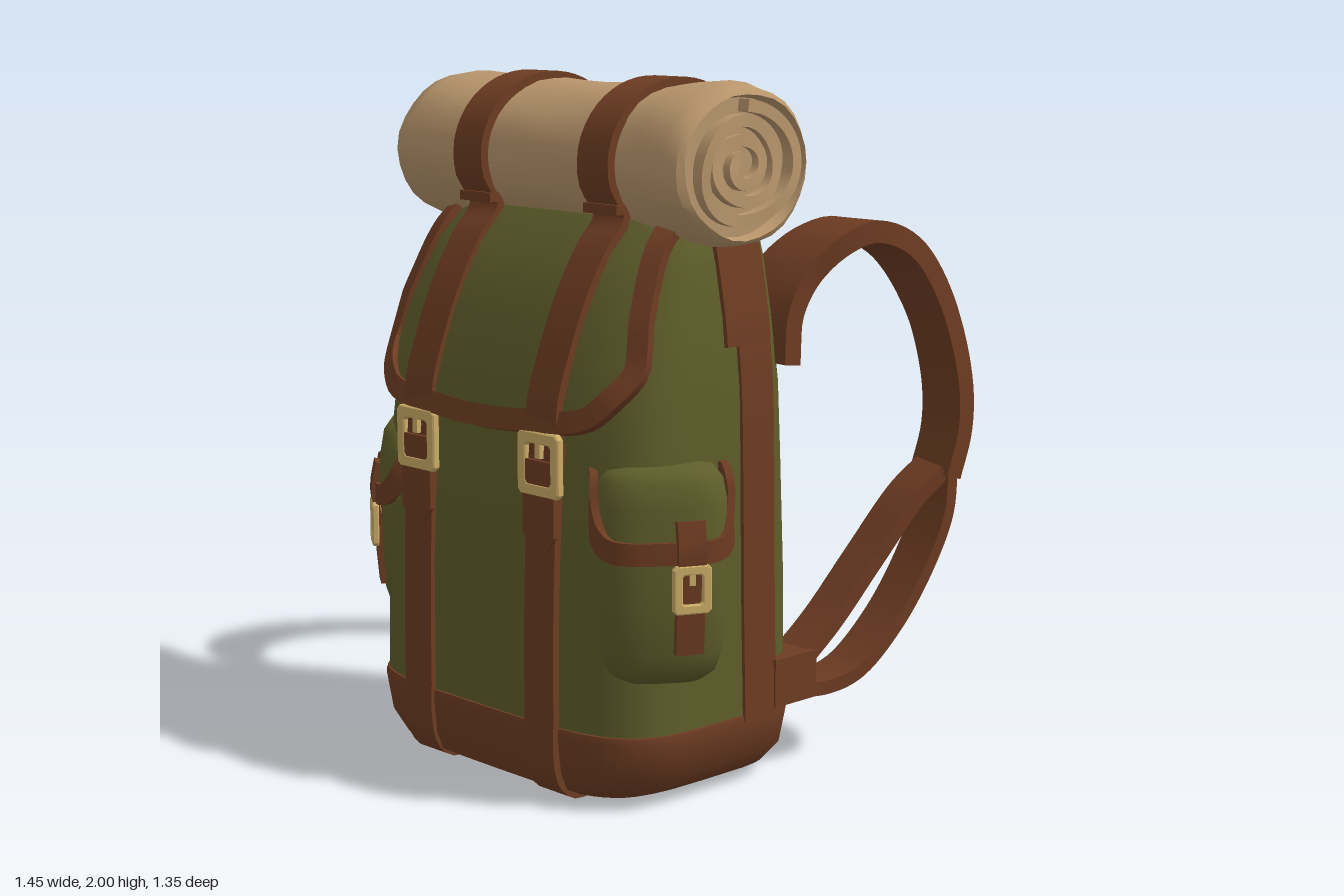
import * as THREE from 'three';
import { toCreasedNormals } from 'three/addons/utils/BufferGeometryUtils.js';

const V = (x, y, z) => new THREE.Vector3(x, y, z);
const paint = (name, color) => Object.assign(new THREE.MeshStandardMaterial({ color }), { name });
const canvas = paint('green canvas', 0x5e5d2a);
const leather = paint('brown leather', 0x6e3c22);
const blanket = paint('tan blanket', 0xb9966c);
const brass = paint('brass', 0xcdae68);

function add(parent, name, geometry, material) {
  const m = new THREE.Mesh(geometry, material);
  m.name = name;
  parent.add(m);
  return m;
}

// Closed skin through rings of points, with both ends capped
function loft(rings, crease = 0.6) {
  const n = rings[0].length, pos = [], idx = [];
  rings.forEach(r => r.forEach(p => pos.push(p.x, p.y, p.z)));
  for (let i = 0; i < rings.length - 1; i++)
    for (let j = 0; j < n; j++) {
      const a = i * n + j, b = i * n + (j + 1) % n;
      idx.push(a, b, b + n, a, b + n, a + n);
    }
  [0, rings.length - 1].forEach((i, end) => {
    const c = rings[i].reduce((s, p) => s.add(p), V(0, 0, 0)).divideScalar(n);
    const k = pos.length / 3;
    pos.push(c.x, c.y, c.z);
    for (let j = 0; j < n; j++) {
      const a = i * n + j, b = i * n + (j + 1) % n;
      end ? idx.push(k, a, b) : idx.push(k, b, a);
    }
  });
  const g = new THREE.BufferGeometry();
  g.setAttribute('position', new THREE.Float32BufferAttribute(pos, 3));
  g.setIndex(idx);
  return toCreasedNormals(g, crease);
}

// Flat strap swept along points; its width lies along "across", or square to "normal(p)"
function ribbon(points, width, thick, { across, normal, steps = 40 }) {
  const curve = new THREE.CatmullRomCurve3(points);
  const rings = [];
  for (let i = 0; i <= steps; i++) {
    const u = i / steps, p = curve.getPointAt(u), t = curve.getTangentAt(u);
    const a = normal ? normal(p).cross(t) : across.clone();
    a.addScaledVector(t, -a.dot(t)).normalize();
    const n = t.clone().cross(a).multiplyScalar(thick / 2);
    a.multiplyScalar((typeof width === 'function' ? width(u) : width) / 2);
    rings.push([[-1, -1], [1, -1], [1, 1], [-1, 1]].map(([s, q]) =>
      p.clone().addScaledVector(a, s).addScaledVector(n, q)));
  }
  return loft(rings, 0.7);
}

const spow = (v, e) => Math.sign(v) * Math.abs(v) ** e;
// Rounded-rectangle section lying flat at height y; n and m square up its front and back corners
const section = (y, w, zf, zb, n = 4, m = 5, count = 48) => Array.from({ length: count }, (_, i) => {
  const t = i / count * Math.PI * 2, e = 2 / (Math.cos(t) > 0 ? n : m);
  return V(w * spow(Math.sin(t), e), y, (zf + zb) / 2 + (zf - zb) / 2 * spow(Math.cos(t), e));
});

// Bag outline: height, half width, front z, back z
const outline = [
  [0.22, 0.596, 0.652, -0.10], [0.6, 0.585, 0.65, -0.105], [0.95, 0.58, 0.632, -0.09],
  [1.15, 0.575, 0.603, -0.08], [1.35, 0.553, 0.53, -0.06], [1.5, 0.525, 0.45, -0.045],
  [1.58, 0.505, 0.39, -0.03], [1.62, 0.455, 0.34, 0]];
function at(y) {
  let i = 0;
  while (i < outline.length - 2 && y > outline[i + 1][0]) i++;
  const [a, b] = [outline[i], outline[i + 1]];
  return a.map((v, k) => THREE.MathUtils.lerp(v, b[k], THREE.MathUtils.clamp((y - a[0]) / (b[0] - a[0]), 0, 1)));
}
function frontZ(x, y) {
  const [, w, f, b] = at(y), r = Math.min(Math.abs(x) / w, 0.93);
  return (f + b) / 2 + (f - b) / 2 * (1 - r ** 4) ** 0.25;
}

function buckle(w, h, bar, depth) {
  const g = new THREE.Group();
  g.name = 'buckle';
  const rect = (S, a, b) => {
    const s = new S(), c = bar * 0.35;
    s.setFromPoints([[c - a, -b], [a - c, -b], [a, c - b], [a, b - c], [a - c, b], [c - a, b], [-a, b - c], [-a, c - b], [c - a, -b]]
      .map(([x, y]) => new THREE.Vector2(x, y)));
    return s;
  };
  const frame = rect(THREE.Shape, w / 2 - 0.004, h / 2 - 0.004);
  frame.holes.push(rect(THREE.Path, w / 2 - bar, h / 2 - bar));
  add(g, 'buckleFrame', new THREE.ExtrudeGeometry(frame,
    { depth, bevelSize: 0.004, bevelThickness: 0.004, bevelSegments: 1 }), brass);
  add(g, 'buckleProng', new THREE.BoxGeometry(bar * 0.7, h * 0.38, depth), brass).position.set(0, h * 0.28, depth * 0.7);
  return g;
}

// Strap end with a blunt point
function tip(w, h, depth) {
  const s = new THREE.Shape([[-0.5, h], [-0.5, 0.06], [-0.14, 0], [0.14, 0], [0.5, 0.06], [0.5, h]]
    .map(([x, y]) => new THREE.Vector2(x * w, y)));
  return new THREE.ExtrudeGeometry(s, { depth, bevelEnabled: false });
}

function pocket(name, [x, z], facing, a, b, straps) {
  const g = new THREE.Group();
  g.name = name;
  g.position.set(x, 0, z);
  g.rotation.y = facing;
  const ring = (y, s) => section(y, a * s, b * s, -b * s, 3, 3, 36);
  add(g, 'pocketPouch', loft([[0.375, 0.65], [0.40, 0.82], [0.46, 0.93], [0.6, 0.98], [0.78, 0.97], [0.9, 0.9]]
    .map(r => ring(...r)), 0.8), canvas);
  add(g, 'pocketFlap', loft([[0.75, 1.03], [0.87, 0.99], [0.935, 0.92], [0.962, 0.8], [0.972, 0.6]]
    .map(r => ring(...r)), 0.8), canvas);
  // Leather edge: straight across the front, rising at both sides
  const path = [];
  for (let i = -14; i <= 14; i++) {
    const t = i / 14 * 1.75, s = Math.sin(t);
    const y = 0.752 + 0.18 * Math.min(1, Math.abs(t) / 1.5) ** 5;
    const k = 1.03 - 0.4 * Math.max(0, y - 0.8);
    path.push(V(a * k * spow(s, 2 / 3), y, b * k * spow(Math.cos(t), 2 / 3)));
  }
  add(g, 'pocketTrim', ribbon(path, 0.062, 0.022, { across: V(0, 1, 0), steps: 56 }), leather);
  for (const sx of straps) {
    const s = new THREE.Group();
    s.name = 'pocketStrap';
    s.position.set(sx, 0, b * (1 - Math.abs(sx / a) ** 3) ** (1 / 3));
    s.rotation.y = sx * 3;
    add(s, 'pocketStrapBand', ribbon([[0.84, 0.006], [0.76, 0.02], [0.68, 0.012], [0.56, 0.004], [0.47, -0.004]]
      .map(([y, d]) => V(0, y, d)), 0.08, 0.02, { across: V(1, 0, 0), steps: 12 }), leather);
    const bk = buckle(0.11, 0.135, 0.023, 0.012);
    bk.position.set(0, 0.655, 0.014);
    s.add(bk);
    g.add(s);
  }
  return g;
}

export function createModel() {
  const bag = new THREE.Group();
  bag.name = 'backpack';

  // Canvas sack and leather base
  add(bag, 'sack', loft(outline.map(r => section(...r)), 0.7), canvas);
  add(bag, 'base', loft([[0.01, 0.47, 0.585, -0.03], [0.035, 0.53, 0.63, -0.08], [0.09, 0.58, 0.65, -0.1],
    [0.2, 0.604, 0.66, -0.108], [0.218, 0.6, 0.655, -0.104]].map(r => section(...r)), 0.7), leather);

  // Top flap with leather edging
  const flapRows = [[1.07, 0.39], [1.13, 0.44], [1.21, 0.51], [1.25, 0.51], [1.33, 0.5], [1.42, 0.482], [1.52, 0.465], [1.62, 0.44]];
  add(bag, 'flap', loft(flapRows.map(([y, h]) => {
    const row = Array.from({ length: 17 }, (_, i) => (i / 8 - 1) * h);
    return [...row.map(x => V(x, y, frontZ(x, y) + 0.028)),
      ...row.reverse().map(x => V(x, y, frontZ(x, y) - 0.02))];
  })), canvas);
  const half = [[0.45, 1.605], [0.482, 1.42], [0.508, 1.28], [0.512, 1.22], [0.48, 1.16], [0.41, 1.095], [0.2, 1.07]];
  const edge = new THREE.CatmullRomCurve3([...half.map(([x, y]) => V(-x, y, 0)), V(0, 1.06, 0),
    ...half.slice().reverse().map(([x, y]) => V(x, y, 0))]).getPoints(56);
  edge.forEach(p => { p.z = frontZ(p.x, p.y) + 0.026; });
  add(bag, 'flapTrim', ribbon(edge, 0.062, 0.035,
    { normal: p => V(p.x * 1.5 * Math.abs(p.x), 0.3, 1).normalize(), steps: 80 }), leather);

  // Rolled blanket: creased outer layer with a spiral showing at both ends
  const roll = new THREE.Group();
  roll.name = 'bedroll';
  roll.position.set(-0.015, 1.765, 0.18);
  const sleeve = [[-0.575, 0.88], [-0.612, 0.93], [-0.6, 1.0], [-0.54, 1.05], [-0.4, 1.03], [-0.27, 0.95], [-0.13, 0.99],
    [0.0, 0.97], [0.1, 1.0], [0.27, 0.95], [0.42, 1.02], [0.54, 1.05], [0.59, 0.99], [0.603, 0.92], [0.57, 0.88]];
  add(roll, 'bedrollSleeve', loft(sleeve.map(([x, s], i) => Array.from({ length: 28 }, (_, j) => {
    const t = j / 28 * Math.PI * 2, k = s * (1 + 0.014 * Math.sin(3 * t + i * 1.3) + 0.008 * Math.sin(7 * t - i));
    return V(x, 0.217 * k * Math.cos(t), 0.257 * k * Math.sin(t));
  })), 0.7), blanket);
  const spiral = Array.from({ length: 61 }, (_, i) => {
    const t = i / 60 * Math.PI * 6, r = (0.025 + 0.16 * i / 60) * (1 + 0.03 * Math.sin(t * 2.6));
    return V(0, r * 0.93 * Math.cos(t), r * 1.1 * Math.sin(t));
  });
  add(roll, 'bedrollSpiral', ribbon(spiral, u => 1.18 + 0.04 * u + 0.015 * Math.sin(u * 25), 0.034,
    { across: V(1, 0, 0), steps: 110 }), blanket);
  bag.add(roll);

  for (const s of [-1, 1]) {
    const x = s * 0.268, X = V(1, 0, 0);
    // Long strap up the back, over the blanket and down the flap
    const over = [0.2, 0.5, 0.95, 1.3, 1.5].map(y => V(x, y, at(y)[3] - 0.001));
    for (let a = 220; a >= -40; a -= 26) {
      const r = a * Math.PI / 180;
      over.push(V(x, 1.765 + 0.223 * Math.sin(r), 0.18 + 0.265 * Math.cos(r)));
    }
    [1.54, 1.4, 1.25, 1.12, 1.0, 0.9].forEach(y => over.push(V(x, y, frontZ(x, y) + (y < 1.05 ? 0.016 : 0.032))));
    add(bag, 'rollStrap', ribbon(over, 0.125, 0.026, { across: X, steps: 100 }), leather);
    add(bag, 'strapKeeper', new THREE.BoxGeometry(0.135, 0.028, 0.05), leather).position.set(x, 1.645, 0.405);

    // Lower strap running down to the base
    const under = [1.02, 0.8, 0.5, 0.25, 0.13].map(y => V(x, y, frontZ(x, y) + 0.007));
    under.push(V(x, 0.06, 0.638), V(x, 0.015, 0.59), V(x, 0.015, 0.5));
    add(bag, 'lowerStrap', ribbon(under, 0.122, 0.022, { across: X, steps: 40 }), leather);
    const end = add(bag, 'strapTip', tip(0.13, 0.27, 0.015), leather);
    end.position.set(x, 0.70, frontZ(x, 0.7) + 0.008);
    const bk = buckle(0.17, 0.18, 0.03, 0.016);
    bk.position.set(x, 0.96, frontZ(x, 0.95) + 0.018);
    bag.add(bk);

    // Side bands
    const side = (y0, y1, z) => [0, 0.25, 0.5, 0.75, 1].map(k => {
      const y = y0 + (y1 - y0) * k;
      return V(s * (at(y)[1] - 0.002), y, z);
    });
    add(bag, 'sideBand', ribbon(side(0.2, 1.58, 0.125), 0.125, 0.024, { across: V(0, 0, 1) }), leather);
    add(bag, 'sideBandTop', ribbon(side(1.27, 1.58, 0.15), 0.17, 0.03, { across: V(0, 0, 1), steps: 8 }), leather);

    // Padded shoulder strap, its webbing and its anchor
    const pts = list => list.map(([px, py, pz]) => V(s * px, py, pz));
    add(bag, 'shoulderStrap', ribbon(pts([[0.465, 1.2, -0.02], [0.47, 1.34, -0.035], [0.485, 1.45, -0.105], [0.52, 1.53, -0.21],
      [0.547, 1.555, -0.32], [0.58, 1.5, -0.45], [0.61, 1.33, -0.57], [0.627, 1.1, -0.64], [0.627, 0.95, -0.645], [0.62, 0.81, -0.605]]),
    u => 0.23 - 0.085 * Math.min(1, u * 1.5), 0.064, { across: X, steps: 48 }), leather);
    add(bag, 'outerWebbing', ribbon(pts([[0.62, 0.84, -0.61], [0.62, 0.7, -0.595], [0.605, 0.54, -0.525], [0.585, 0.38, -0.41],
      [0.565, 0.265, -0.27], [0.54, 0.235, -0.15], [0.53, 0.25, -0.04]]), 0.13, 0.042, { across: X }), leather);
    add(bag, 'innerWebbing', ribbon(pts([[0.62, 0.83, -0.59], [0.6, 0.76, -0.5], [0.565, 0.585, -0.35], [0.54, 0.42, -0.2],
      [0.53, 0.31, -0.06]]), 0.115, 0.05, { across: X }), leather);
    add(bag, 'strapAnchor', new THREE.BoxGeometry(0.17, 0.14, 0.17), leather).position.set(s * 0.525, 0.29, -0.015);
  }

  // Corner pockets
  bag.add(pocket('rightPocket', [-0.495, 0.415], -0.8, 0.215, 0.155, [-0.09, 0.07]));
  bag.add(pocket('leftPocket', [0.51, 0.437], 0.96, 0.188, 0.16, [0.06]));
  return bag;
}
